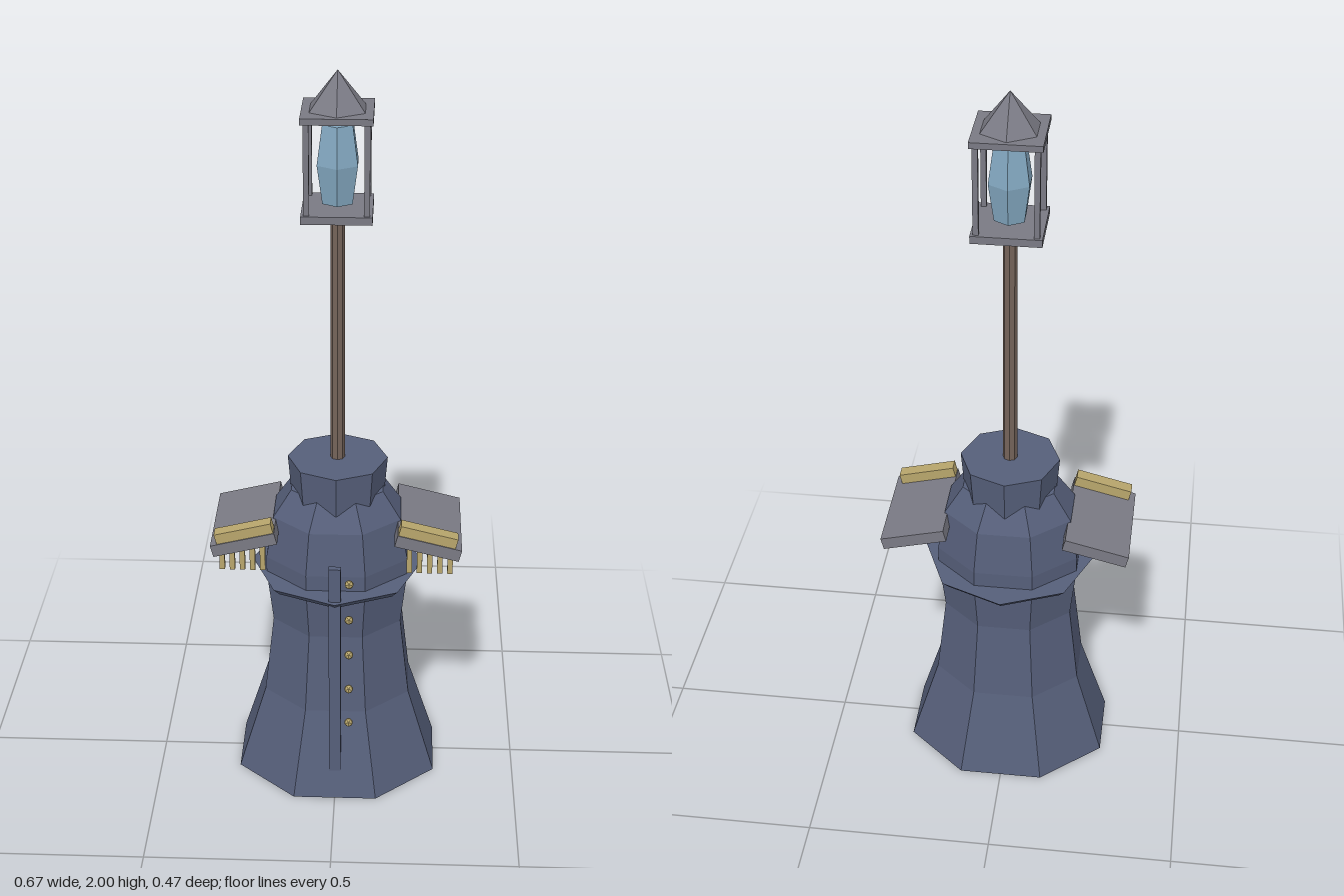
import * as THREE from 'three';

export function createModel() {
  const root = new THREE.Group();
  root.name = 'lanternTower';

  const mat = (name, color) => {
    const m = new THREE.MeshStandardMaterial({ color, flatShading: true });
    m.name = name;
    return m;
  };
  const slate = mat('slate blue', 0x565f7a);
  const grey = mat('grey metal', 0x7a7a84);
  const brass = mat('pale brass', 0xb8a66c);
  const wood = mat('brown pole', 0x75645a);
  const glass = mat('blue glass', 0x84a9c2);

  const add = (parent, name, geometry, material, x = 0, y = 0, z = 0) => {
    const mesh = new THREE.Mesh(geometry, material);
    mesh.name = name;
    mesh.position.set(x, y, z);
    parent.add(mesh);
    return mesh;
  };
  const box = (w, h, d) => new THREE.BoxGeometry(w, h, d);

  // Octagonal body, slightly flattened front to back; widths are half-widths across the flats
  const profile = [
    [0, 0], [0.275, 0], [0.2, 0.25], [0.174, 0.48], [0.19, 0.63],
    [0.19, 0.68], [0.17, 0.8], [0.122, 0.875], [0, 0.875],
  ].map(([w, y]) => new THREE.Vector2(w / Math.cos(Math.PI / 8), y));
  const body = new THREE.LatheGeometry(profile, 8, Math.PI / 8);
  body.scale(1, 1, 0.855);
  add(root, 'body', body, slate);

  // Flared collar and neck, turned so their corners lie on the axes
  add(root, 'collar', new THREE.CylinderGeometry(0.233, 0.212, 0.022, 8), slate, 0, 0.625, 0);
  add(root, 'neck', new THREE.CylinderGeometry(0.133, 0.124, 0.115, 8), slate, 0, 0.898, 0);

  // Front strip with a row of studs beside it
  add(root, 'frontStrip', box(0.032, 0.655, 0.017), slate, 0, 0.408, 0.209);
  for (let i = 0; i < 5; i++) {
    add(root, 'stud', new THREE.IcosahedronGeometry(0.013, 0), brass, 0.038, 0.25 + i * 0.111, 0.221);
  }

  // Sloping shoulder plates with a brass bar and hanging fringe
  for (const side of [1, -1]) {
    const shoulder = new THREE.Group();
    shoulder.name = side > 0 ? 'leftShoulder' : 'rightShoulder';
    const tilted = new THREE.Group();
    tilted.name = 'tiltedPlate';
    tilted.position.set(side * 0.244, 0.76, 0);
    tilted.rotation.z = -side * 0.245;
    add(tilted, 'shoulderPlate', box(0.175, 0.034, 0.285), grey);
    add(tilted, 'brassBar', box(0.155, 0.03, 0.036), brass, -side * 0.008, 0.031, 0.122);
    shoulder.add(tilted);
    for (let i = 0; i < 5; i++) {
      const top = 0.765 - i * 0.007;
      add(shoulder, 'fringe', box(0.014, top - 0.68, 0.014), brass,
        side * (0.195 + i * 0.027), (top + 0.68) / 2, 0.128);
    }
    root.add(shoulder);
  }

  // Pole
  add(root, 'pole', new THREE.CylinderGeometry(0.018, 0.019, 0.7, 8), wood, 0, 1.295, 0);

  // Lantern
  const lantern = new THREE.Group();
  lantern.name = 'lantern';
  add(lantern, 'lanternBase', box(0.176, 0.02, 0.176), grey, 0, 1.65, 0);
  add(lantern, 'lanternTop', box(0.176, 0.016, 0.176), grey, 0, 1.897, 0);
  for (const x of [-0.074, 0.074]) {
    for (const z of [-0.074, 0.074]) {
      add(lantern, 'lanternPost', box(0.014, 0.236, 0.014), grey, x, 1.774, z);
    }
  }
  add(lantern, 'lanternRoof', new THREE.ConeGeometry(0.078, 0.095, 6), grey, 0, 1.9525, 0);
  const barrel = [[0, 1.67], [0.043, 1.67], [0.058, 1.77], [0.043, 1.87], [0, 1.87]]
    .map(([r, y]) => new THREE.Vector2(r, y));
  add(lantern, 'lanternGlass', new THREE.LatheGeometry(barrel, 6), glass);
  root.add(lantern);

  return root;
}
